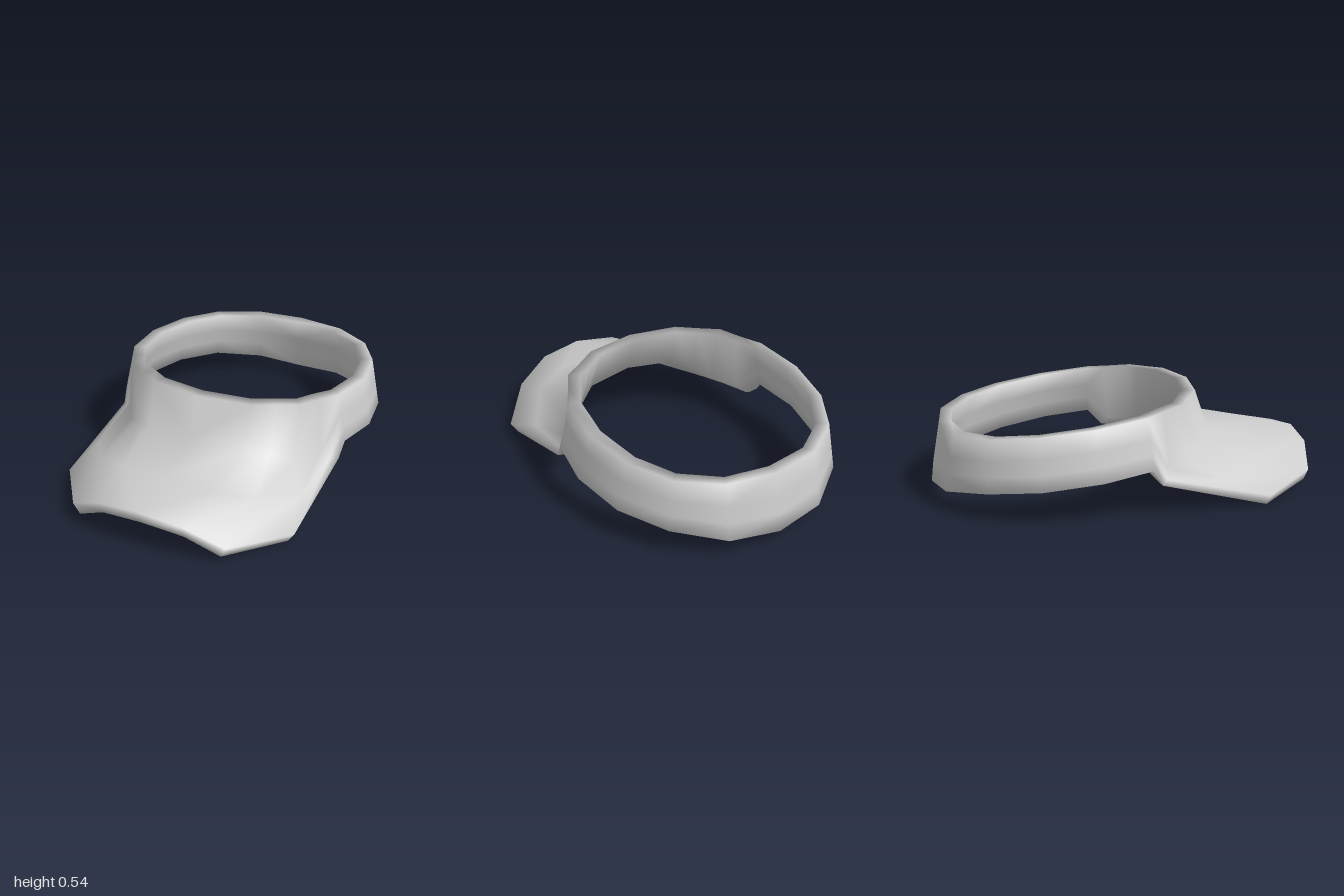
import * as THREE from 'three';

// Half of the visor, from centre front to centre back.
// t: top of the band [x, z], e: lower outer edge [x, y, z],
// c / m: crease and middle of the brim, i: lower inner edge.
const HALF = [
  { t: [0, 0.38], c: [0, 0.335, 0.45], m: [0, 0.265, 0.73], e: [0, 0.23, 1.0], i: [0, 0.165, 0.985] },
  { t: [0.27, 0.335], c: [0.27, 0.315, 0.41], m: [0.25, 0.25, 0.72], e: [0.23, 0.2, 0.98], i: [0.22, 0.135, 0.96] },
  { t: [0.375, 0.265], c: [0.38, 0.27, 0.335], m: [0.43, 0.205, 0.64], e: [0.42, 0.1, 0.92], i: [0.39, 0.04, 0.91] },
  { t: [0.48, 0.2], c: [0.475, 0.22, 0.25], m: [0.58, 0.13, 0.42], e: [0.64, 0.055, 0.62], i: [0.605, 0, 0.61] },
  { t: [0.54, 0.08], c: [0.56, 0.215, 0.11], m: [0.605, 0.175, 0.08], e: [0.64, 0.16, 0.05], i: [0.6, 0.145, 0.06] },
  { t: [0.6, -0.02], e: [0.65, 0.24, 0.0] },
  { t: [0.635, -0.29], e: [0.69, 0.21, -0.26] },
  { t: [0.585, -0.56], e: [0.64, 0.175, -0.55] },
  { t: [0.465, -0.77], e: [0.5, 0.145, -0.79] },
  { t: [0.26, -0.91], e: [0.27, 0.1, -0.96] },
  { t: [0, -0.95], e: [0, 0.075, -1.0] },
];

// Closed cross-section: down the outside, up the inside
function section({ t, c, m, e, i }) {
  const top = new THREE.Vector3(t[0], 0.494 + 0.1145 * t[1], t[1]);
  const edge = new THREE.Vector3(...e);
  const crease = c ? new THREE.Vector3(...c) : top.clone().lerp(edge, 0.4);
  const middle = m ? new THREE.Vector3(...m) : top.clone().lerp(edge, 0.7);
  const out = new THREE.Vector3(t[0] / 0.4, 0, (t[1] + 0.29) / 0.44).normalize();
  const inset = (p, d, drop = 0) => {
    const q = p.clone().addScaledVector(out, -d);
    q.y -= drop;
    return q;
  };
  return [
    top, crease, middle, edge,
    i ? new THREE.Vector3(...i) : inset(edge, 0.05, 0.01),
    m ? inset(middle, 0.035, 0.05 * out.z) : inset(middle, 0.055),
    c ? inset(crease, 0.045, 0.015) : inset(crease, 0.06),
    inset(top, 0.064),
  ];
}

export function createModel() {
  const group = new THREE.Group();
  group.name = 'sunVisor';
  const fabric = new THREE.MeshStandardMaterial({ color: 0xcccccc });
  fabric.name = 'light grey fabric';

  // Full ring of sections, mirrored about x = 0
  const half = HALF.map(section);
  const mirrored = half.slice(1, -1).reverse()
    .map((s) => s.map((p) => new THREE.Vector3(-p.x, p.y, p.z)));
  const ring = [...half, ...mirrored];
  const cols = ring.length;
  const rows = ring[0].length;
  const last = HALF.length - 1;

  // Shared skin, split into band and brim triangles
  const bandIndex = [];
  const brimIndex = [];
  for (let k = 0; k < cols; k++) {
    const side = k <= last ? k : cols - k;
    const next = (k + 1) % cols;
    const nextSide = next <= last ? next : cols - next;
    const inFront = Math.max(side, nextSide) <= 5;
    for (let r = 0; r < rows; r++) {
      const s = (r + 1) % rows;
      const a = k * rows + r, b = k * rows + s;
      const c = next * rows + r, d = next * rows + s;
      const target = inFront && r >= 1 && r <= 5 ? brimIndex : bandIndex;
      // Mirror the diagonal so both halves match
      if (k < last) target.push(a, b, c, b, d, c);
      else target.push(a, b, d, a, d, c);
    }
  }

  const skin = new THREE.BufferGeometry().setFromPoints(ring.flat());
  skin.setIndex([...bandIndex, ...brimIndex]);
  skin.computeVertexNormals();

  const addPart = (name, index) => {
    const geometry = new THREE.BufferGeometry();
    geometry.setAttribute('position', skin.getAttribute('position').clone());
    geometry.setAttribute('normal', skin.getAttribute('normal').clone());
    geometry.setIndex(index);
    const mesh = new THREE.Mesh(geometry, fabric);
    mesh.name = name;
    group.add(mesh);
  };
  addPart('headBand', bandIndex);
  addPart('brim', brimIndex);

  return group;
}
